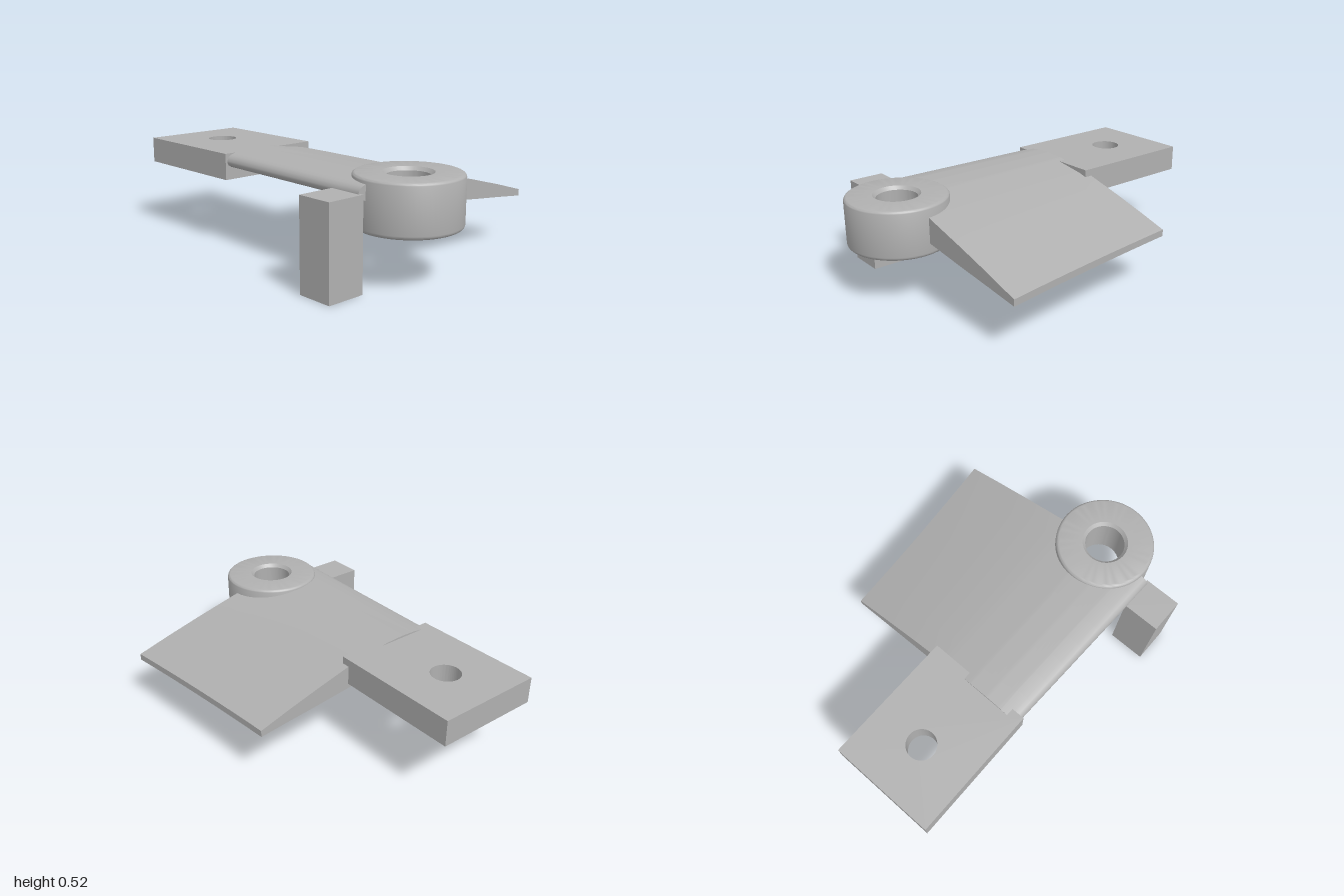
import * as THREE from 'three';
import { toCreasedNormals } from 'three/addons/utils/BufferGeometryUtils.js';

const RING = { x: -0.213, z: 0.732, r: 0.263, y0: 0.266, y1: 0.522 };

// Blade section at the wide end: [x, lower y, upper y]
const SECTION = [
  [-0.52, 0.452, 0.462], [-0.512, 0.438, 0.479], [-0.495, 0.428, 0.491], [-0.47, 0.422, 0.498],
  [-0.40, 0.408, 0.506], [-0.30, 0.388, 0.508], [-0.18, 0.367, 0.501], [0.05, 0.332, 0.466],
  [0.32, 0.299, 0.398], [0.52, 0.277, 0.344], [0.705, 0.255, 0.29],
];

function sectionAt(x) {
  let i = 0;
  while (i < SECTION.length - 2 && SECTION[i + 1][0] < x) i++;
  const a = SECTION[i], b = SECTION[i + 1], t = (x - a[0]) / (b[0] - a[0]);
  return [a[1] + (b[1] - a[1]) * t, a[2] + (b[2] - a[2]) * t];
}

// Tapered airfoil slab whose wide end stops inside the ring wall, leaving the bore clear
function bladeGeometry() {
  const xs = SECTION.map(s => s[0]);
  for (let i = 0; i <= 24; i++) xs.push(RING.x - 0.2 * Math.cos(Math.PI * i / 24));
  xs.sort((a, b) => a - b);
  const z0 = -0.325, z1 = 0.715, rows = 8, n = xs.length, pos = [], idx = [];
  for (let r = 0; r <= rows; r++) {
    for (const side of [0, 1]) {
      for (const x of xs) {
        const d = Math.max(0, 0.2 ** 2 - (x - RING.x) ** 2);
        const end = Math.min(z1, RING.z - Math.sqrt(d));
        const z = z0 + (end - z0) * r / rows;
        const v = (z - z0) / (z1 - z0), f = (x + 0.52) / 1.225;
        const lead = -0.491 - 0.029 * v;
        const trail = 0.615 + 0.06 * v + 0.03 * v * v;
        pos.push(lead + (trail - lead) * f, sectionAt(x)[side] + 0.02 * f * (1 - v), z);
      }
    }
  }
  const quad = (a, b, c, d) => idx.push(a, b, c, a, c, d);
  const low = (r, i) => r * 2 * n + i, up = (r, i) => low(r, i) + n;
  for (let r = 0; r < rows; r++) {
    for (let i = 0; i < n - 1; i++) {
      quad(up(r, i), up(r + 1, i), up(r + 1, i + 1), up(r, i + 1));
      quad(low(r, i), low(r, i + 1), low(r + 1, i + 1), low(r + 1, i));
    }
    quad(low(r, 0), low(r + 1, 0), up(r + 1, 0), up(r, 0));
    quad(low(r, n - 1), up(r, n - 1), up(r + 1, n - 1), low(r + 1, n - 1));
  }
  for (let i = 0; i < n - 1; i++) {
    quad(low(0, i), up(0, i), up(0, i + 1), low(0, i + 1));
    quad(low(rows, i), low(rows, i + 1), up(rows, i + 1), up(rows, i));
  }
  const g = new THREE.BufferGeometry();
  g.setAttribute('position', new THREE.Float32BufferAttribute(pos, 3));
  g.setIndex(idx);
  return toCreasedNormals(g, 0.6);
}

// Thick washer with rounded outer edges and chamfered bore
function ringGeometry() {
  const { r, y0, y1 } = RING, e = 0.02, bore = 0.105, mouth = 0.121, pts = [];
  const add = (x, y) => pts.push(new THREE.Vector2(x, y));
  add(bore, y0 + 0.018);
  add(mouth, y0);
  for (let i = 0; i <= 5; i++) {
    const a = -Math.PI / 2 + Math.PI / 2 * i / 5;
    add(r - e + e * Math.cos(a), y0 + e + e * Math.sin(a));
  }
  for (let i = 0; i <= 5; i++) {
    const a = Math.PI / 2 * i / 5;
    add(r - e + e * Math.cos(a), y1 - e + e * Math.sin(a));
  }
  add(mouth, y1);
  add(bore, y1 - 0.018);
  add(bore, y0 + 0.018);
  return toCreasedNormals(new THREE.LatheGeometry(pts, 64), 0.5);
}

// Flat rectangular tang with a round hole
function plateGeometry() {
  const s = new THREE.Shape();
  s.moveTo(-0.503, 0.283).lineTo(0.075, 0.283).lineTo(0.075, 1).lineTo(-0.503, 1).closePath();
  s.holes.push(new THREE.Path().absarc(-0.213, 0.713, 0.078, 0, Math.PI * 2, true));
  const g = new THREE.ExtrudeGeometry(s, { depth: 0.14, bevelEnabled: false, curveSegments: 48 });
  g.rotateX(-Math.PI / 2).translate(0, 0.361, 0);
  return toCreasedNormals(g, 0.5);
}

export function createModel() {
  const group = new THREE.Group();
  const grey = new THREE.MeshStandardMaterial({ color: 0xb0b0b0 });
  grey.name = 'grey';
  const add = (name, geometry, x = 0, y = 0, z = 0) => {
    const mesh = new THREE.Mesh(geometry, grey);
    mesh.name = name;
    mesh.position.set(x, y, z);
    group.add(mesh);
  };
  add('blade', bladeGeometry());
  add('ring', ringGeometry(), RING.x, 0, RING.z);
  add('mountingPlate', plateGeometry());
  add('post', new THREE.BoxGeometry(0.203, 0.459, 0.191), -0.6085, 0.2295, 0.637);
  return group;
}
